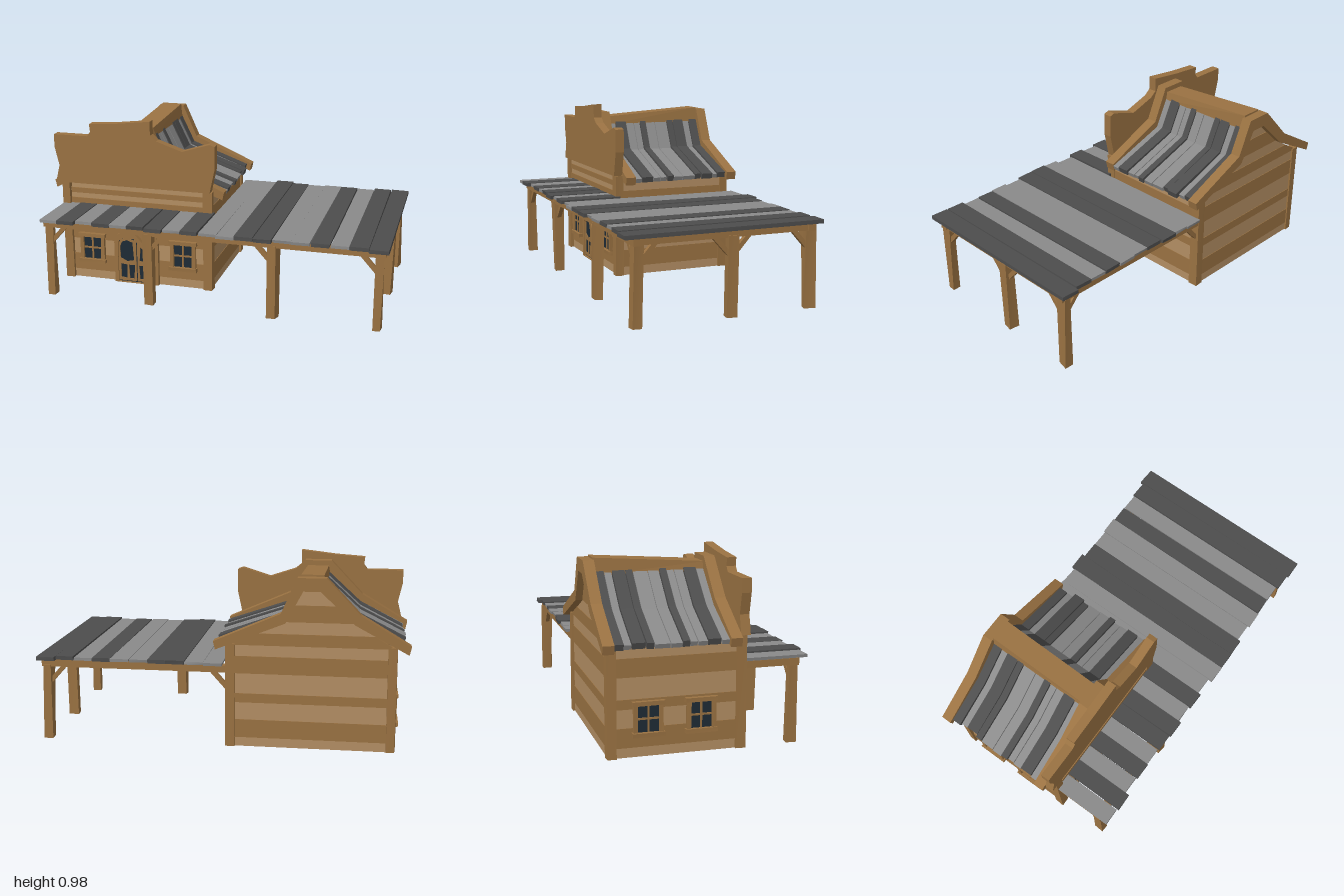
import * as THREE from 'three';

const mat = (name, color) => {
  const m = new THREE.MeshStandardMaterial({ color });
  m.name = name;
  return m;
};

export function createModel() {
  const wood = mat('brown wood', 0x9a7242), pale = mat('pale wood', 0xb38e63);
  const grey = mat('grey board', 0x8a8a8a), dark = mat('dark grey board', 0x4d4d4d);
  const glass = mat('dark glass', 0x1e2b35);
  const root = new THREE.Group();
  root.name = 'saloon';

  let seed = 7;
  const rand = () => ((seed = (seed * 16807) % 2147483647) / 2147483647) - 0.5;

  const add = (parent, name, geo, m) => {
    const mesh = new THREE.Mesh(geo, m);
    mesh.name = name;
    parent.add(mesh);
    return mesh;
  };
  // Box given by its limits; wobble shifts its corners for a hand-cut look
  const box = (parent, name, m, x0, x1, y0, y1, z0, z1, wobble = 0) => {
    const geo = new THREE.BoxGeometry(x1 - x0, y1 - y0, z1 - z0);
    if (wobble) {
      const p = geo.attributes.position, shift = {};
      for (let i = 0; i < p.count; i++) {
        const k = [p.getX(i) > 0, p.getY(i) > 0, p.getZ(i) > 0].join();
        shift[k] ??= [rand() * wobble, rand() * wobble];
        p.setX(i, p.getX(i) + shift[k][0]);
        p.setZ(i, p.getZ(i) + shift[k][1]);
      }
      geo.computeVertexNormals();
    }
    const mesh = add(parent, name, geo, m);
    mesh.position.set((x0 + x1) / 2, (y0 + y1) / 2, (z0 + z1) / 2);
    return mesh;
  };
  // Outline in x and y, pushed out from z0 to z1
  const shapeOf = pts => new THREE.Shape(pts.map(p => new THREE.Vector2(...p)));
  const slab = (parent, name, m, shape, z0, z1) => {
    const s = Array.isArray(shape) ? shapeOf(shape) : shape;
    const geo = new THREE.ExtrudeGeometry(s, { depth: z1 - z0, bevelEnabled: false, curveSegments: 6 });
    geo.translate(0, 0, z0);
    return add(parent, name, geo, m);
  };
  // Diagonal brace from a post up to the beam, heading along dx or dz
  const brace = (x, z, dx, dz) => {
    const a = new THREE.Vector3(x + dx * 0.015, 0.325, z + dz * 0.015);
    const b = new THREE.Vector3(x + dx * 0.1, 0.42, z + dz * 0.1);
    const mesh = add(root, 'brace', new THREE.BoxGeometry(0.024, 0.024, a.distanceTo(b)), wood);
    mesh.position.copy(a).lerp(b, 0.5);
    mesh.lookAt(b);
  };

  // Wall rows, with the gable ends following the bent roof line
  const rows = [0, 0.05, 0.15, 0.245, 0.295, 0.405, 0.5, 0.56, 0.625, 0.69, 0.78, 0.87];
  const gableY = [0, 0.56, 0.69, 0.87];
  const leftX = [-0.92, -0.92, -0.71, -0.53], rightX = [-0.04, -0.04, -0.35, -0.44];
  const at = (xs, y) => {
    let i = 0;
    while (i < 2 && y > gableY[i + 1]) i++;
    return xs[i] + (xs[i + 1] - xs[i]) * (y - gableY[i]) / (gableY[i + 1] - gableY[i]);
  };
  for (let i = 0; i < rows.length - 1; i++) {
    const y0 = rows[i], y1 = rows[i + 1], m = i % 2 ? wood : pale, out = (i % 2) * 0.003;
    const pts = [[at(leftX, y0), y0], [at(rightX, y0), y0], [at(rightX, y1), y1], [at(leftX, y1), y1]];
    slab(root, 'backWallPlank', m, pts, -0.5 - out, -0.48);
    slab(root, 'frontWallPlank', m, pts, y0 > 0.55 ? 0.14 : 0.165, (y0 > 0.55 ? 0.155 : 0.185) + out);
    if (y1 < 0.57) {
      box(root, 'rightWallPlank', m, -0.93 - out + 0.01, -0.9, y0, y1, -0.48, 0.17);
      box(root, 'leftWallPlank', m, -0.06, -0.04 + out, y0, y1, -0.48, 0.17);
    }
  }
  for (const x of [-0.935, -0.08]) {
    box(root, 'cornerPost', wood, x, x + 0.05, 0, 0.59, 0.155, 0.205, 0.008);
    box(root, 'cornerPost', wood, x, x + 0.05, 0, 0.57, -0.51, -0.46, 0.008);
  }
  // Boards behind the foot of the false front
  box(root, 'frontBand', wood, -0.88, -0.08, 0.47, 0.5, 0.16, 0.2);
  box(root, 'frontBand', pale, -0.88, -0.08, 0.5, 0.53, 0.16, 0.195);
  box(root, 'frontBand', wood, -0.88, -0.08, 0.53, 0.56, 0.16, 0.2);
  box(root, 'frontBand', pale, -0.88, -0.08, 0.56, 0.592, 0.16, 0.195);

  // False front
  slab(root, 'falseFront', wood, [
    [-0.97, 0.59], [-0.04, 0.59], [-0.01, 0.73], [-0.01, 0.86], [-0.04, 0.87], [-0.2, 0.82], [-0.35, 0.87],
    [-0.385, 0.9], [-0.385, 0.98], [-0.58, 0.957], [-0.75, 0.945], [-0.745, 0.9], [-0.765, 0.873],
    [-0.97, 0.873], [-0.97, 0.8], [-0.945, 0.69]], 0.16, 0.21);

  // Main roof: boards along both bent slopes
  const boards = [[0.105, 0.06, 0], [0.06, -0.01, 1], [-0.01, -0.06, 0], [-0.06, -0.1, 0], [-0.1, -0.14, 1],
    [-0.14, -0.2, 0], [-0.2, -0.28, 0], [-0.28, -0.32, 1], [-0.32, -0.39, 1], [-0.39, -0.43, 0], [-0.43, -0.485, 1]];
  for (const [z1, z0, isDark] of boards) {
    const m = isDark ? dark : grey, lift = isDark * 0.008;
    for (const [ridge, bend, eave, s] of [[-0.42, -0.34, 0.015, 1], [-0.55, -0.73, -0.975, -1]]) {
      const e = eave + rand() * 0.03;
      const pts = [[ridge, 0.865 + lift], [bend, 0.7 + lift], [e, 0.575 + lift],
        [e - s * 0.008, 0.552], [bend - s * 0.02, 0.677], [ridge - s * 0.03, 0.845]];
      slab(root, 'roofBoard', m, s > 0 ? pts.reverse() : pts, z0 + 0.002, z1 - 0.002);
    }
  }
  // Bargeboards and ridge cap
  const barge = [[-1, 0.585], [-0.74, 0.74], [-0.56, 0.93], [-0.41, 0.93], [-0.325, 0.74], [0.03, 0.585],
    [0.02, 0.54], [-0.35, 0.69], [-0.44, 0.86], [-0.53, 0.86], [-0.71, 0.69], [-0.99, 0.54]];
  slab(root, 'frontBargeboard', wood, barge, 0.1, 0.159);
  slab(root, 'backBargeboard', wood, barge, -0.54, -0.482);
  const cap = slab(root, 'ridgeCap', wood,
    [[-0.555, 0.85], [-0.415, 0.85], [-0.425, 0.94], [-0.545, 0.94]], -0.485, 0.12);
  const cp = cap.geometry.attributes.position;
  for (let i = 0; i < cp.count; i++) if (cp.getY(i) > 0.9 && cp.getZ(i) > 0) cp.setY(i, 0.9);
  cap.geometry.computeVertexNormals();

  // Windows, built facing +z around their own middle
  const makeWindow = (x, z, turn) => {
    const g = new THREE.Group();
    g.name = 'window';
    box(g, 'pane', glass, -0.06, 0.06, -0.075, 0.075, 0.002, 0.008);
    for (const s of [-1, 1]) box(g, 'windowSide', wood, s * 0.065 - 0.011, s * 0.065 + 0.011, -0.08, 0.08, 0, 0.02, 0.004);
    box(g, 'lintel', wood, -0.083, 0.083, 0.068, 0.09, 0, 0.024, 0.004);
    box(g, 'sill', wood, -0.083, 0.083, -0.09, -0.068, 0, 0.028, 0.004);
    box(g, 'uprightBar', wood, -0.005, 0.005, -0.07, 0.07, 0, 0.014);
    box(g, 'crossBar', wood, -0.055, 0.055, -0.004, 0.006, 0, 0.013);
    g.position.set(x, 0.195, z);
    g.rotation.y = turn;
    root.add(g);
  };
  makeWindow(-0.763, 0.187, 0);
  makeWindow(-0.205, 0.187, 0);
  makeWindow(-0.922, -0.3, -Math.PI / 2);
  makeWindow(-0.922, -0.03, -Math.PI / 2);

  // Swing doors with an arched frame, seen from both sides of the wall
  const arch = (w, h, c) => {
    const s = new THREE.Shape();
    s.moveTo(-w, 0);
    s.lineTo(w, 0);
    s.lineTo(w, h - c);
    s.quadraticCurveTo(w, h, w - c, h);
    s.lineTo(-w + c, h);
    s.quadraticCurveTo(-w, h, -w, h - c);
    s.closePath();
    return s;
  };
  for (const side of [1, -1]) {
    const g = new THREE.Group();
    g.name = 'door';
    slab(g, 'doorGlass', glass, arch(0.12, 0.285, 0.05), 0.003, 0.009);
    const frame = arch(0.135, 0.305, 0.06);
    frame.holes.push(shapeOf([[-0.113, 0.004], [-0.113, 0.225], [-0.105, 0.26], [-0.075, 0.275],
      [0.075, 0.275], [0.105, 0.26], [0.113, 0.225], [0.113, 0.004]]));
    slab(g, 'doorFrame', wood, frame, 0, 0.022);
    for (const s of [-1, 1]) {
      const m = v => v.map(([x, y]) => [x * s, y]);
      const leaf = shapeOf(m([[0.003, 0.01], [0.113, 0.01], [0.113, 0.23], [0.1, 0.262], [0.06, 0.275], [0.003, 0.26]]));
      leaf.holes.push(shapeOf(m([[0.017, 0.14], [0.025, 0.25], [0.06, 0.262], [0.09, 0.25], [0.103, 0.22], [0.1, 0.15], [0.06, 0.13]])));
      leaf.holes.push(shapeOf(m([[0.018, 0.025], [0.013, 0.11], [0.05, 0.11], [0.046, 0.025]])));
      leaf.holes.push(shapeOf(m([[0.064, 0.025], [0.06, 0.11], [0.098, 0.115], [0.1, 0.03]])));
      slab(g, 'doorLeaf', wood, leaf, 0.004, 0.014);
    }
    g.position.set(-0.488, 0, side > 0 ? 0.187 : 0.165);
    g.rotation.y = side > 0 ? 0 : Math.PI;
    root.add(g);
  }

  // Porch posts, braces and beams
  const posts = [[-0.9, 0.465], [-0.32, 0.465], [0.385, 0.465], [0.95, 0.465], [0.95, -0.04], [0.95, -0.485]];
  for (const [x, z] of posts) box(root, 'porchPost', wood, x - 0.025, x + 0.025, 0, 0.42, z - 0.025, z + 0.025, 0.016);
  brace(-0.9, 0.465, 1, 0);
  brace(-0.32, 0.465, 1, 0);
  brace(-0.32, 0.465, -1, 0);
  brace(0.385, 0.465, -1, 0);
  brace(0.95, 0.465, -1, 0);
  brace(0.95, 0.465, 0, -1);
  brace(0.95, -0.04, 0, 1);
  brace(0.95, -0.04, 0, -1);
  brace(0.95, -0.485, 0, 1);
  brace(0.95, -0.485, -1, 0);
  brace(-0.05, -0.485, 1, 0);
  box(root, 'frontBeam', wood, -0.93, 0.98, 0.408, 0.447, 0.445, 0.49);
  box(root, 'backBeam', wood, -0.04, 0.98, 0.408, 0.447, -0.51, -0.465);
  box(root, 'sideBeam', wood, 0.928, 0.972, 0.41, 0.446, -0.5, 0.48);
  box(root, 'sideBeam', wood, -0.925, -0.885, 0.41, 0.446, 0.18, 0.48);

  // Porch roof boards: short ones before the house, long ones beside it
  const tone = '0101011010011001011';
  for (let i = 0; i < 19; i++) {
    const x0 = -0.93 + i * 0.1016, isDark = tone[i] === '1';
    const back = i < 9 ? 0.18 : -0.53 + rand() * 0.025;
    const b = box(root, 'porchBoard', isDark ? dark : grey, x0 + 0.001, x0 + 0.0995,
      0.447, isDark ? 0.468 : 0.463, back, 0.53 + rand() * 0.03, 0.006);
    b.position.y += (i % 3) * 0.002;
  }
  return root;
}
